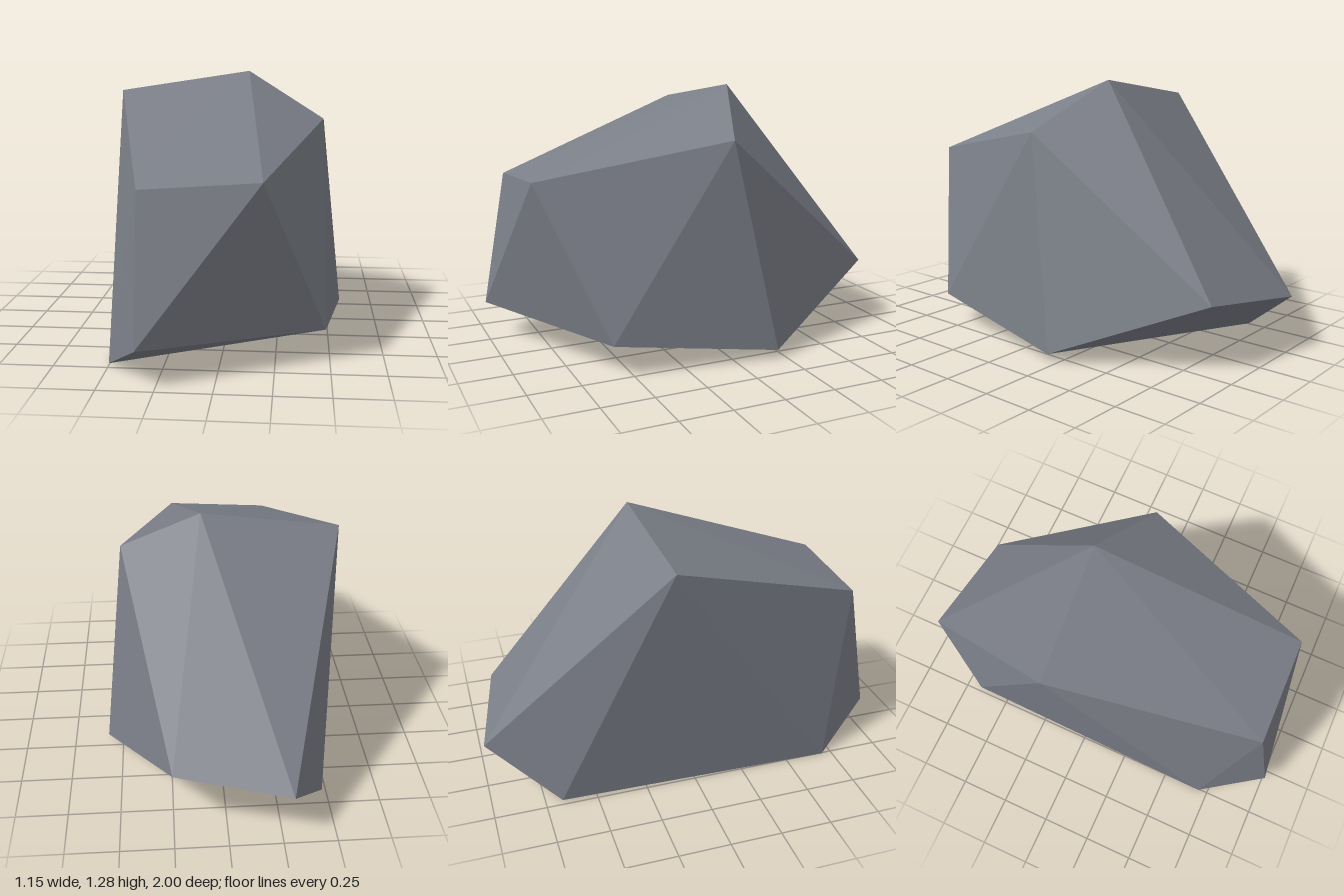
import * as THREE from 'three';
import { ConvexGeometry } from 'three/addons/geometries/ConvexGeometry.js';

export function createModel() {
  const group = new THREE.Group();
  group.name = 'rock';

  const stone = new THREE.MeshStandardMaterial({ color: 0x7a7e87 });
  stone.name = 'slate grey stone';

  // Corners of the boulder; its facets are their convex hull
  const corners = [
    // top ridge
    [-0.58, 1.18, -0.13], [0.08, 1.28, -0.17], [0.465, 1.05, -0.02],
    // front shoulder
    [-0.33, 0.84, 0.88], [0.2, 0.875, 0.87],
    // front foot
    [-0.33, 0.175, 1.0], [0.48, 0.15, 0.59],
    // back foot
    [-0.29, 0.27, -1.0], [0.25, 0.33, -0.89],
    // base
    [-0.505, 0.0, 0.7], [0.575, 0.04, -0.21], [-0.48, 0.01, -0.67],
  ].map((p) => new THREE.Vector3(...p));

  // Hull faces carry their own normals, so the facets stay flat
  const boulder = new THREE.Mesh(new ConvexGeometry(corners), stone);
  boulder.name = 'boulder';
  group.add(boulder);
  return group;
}
